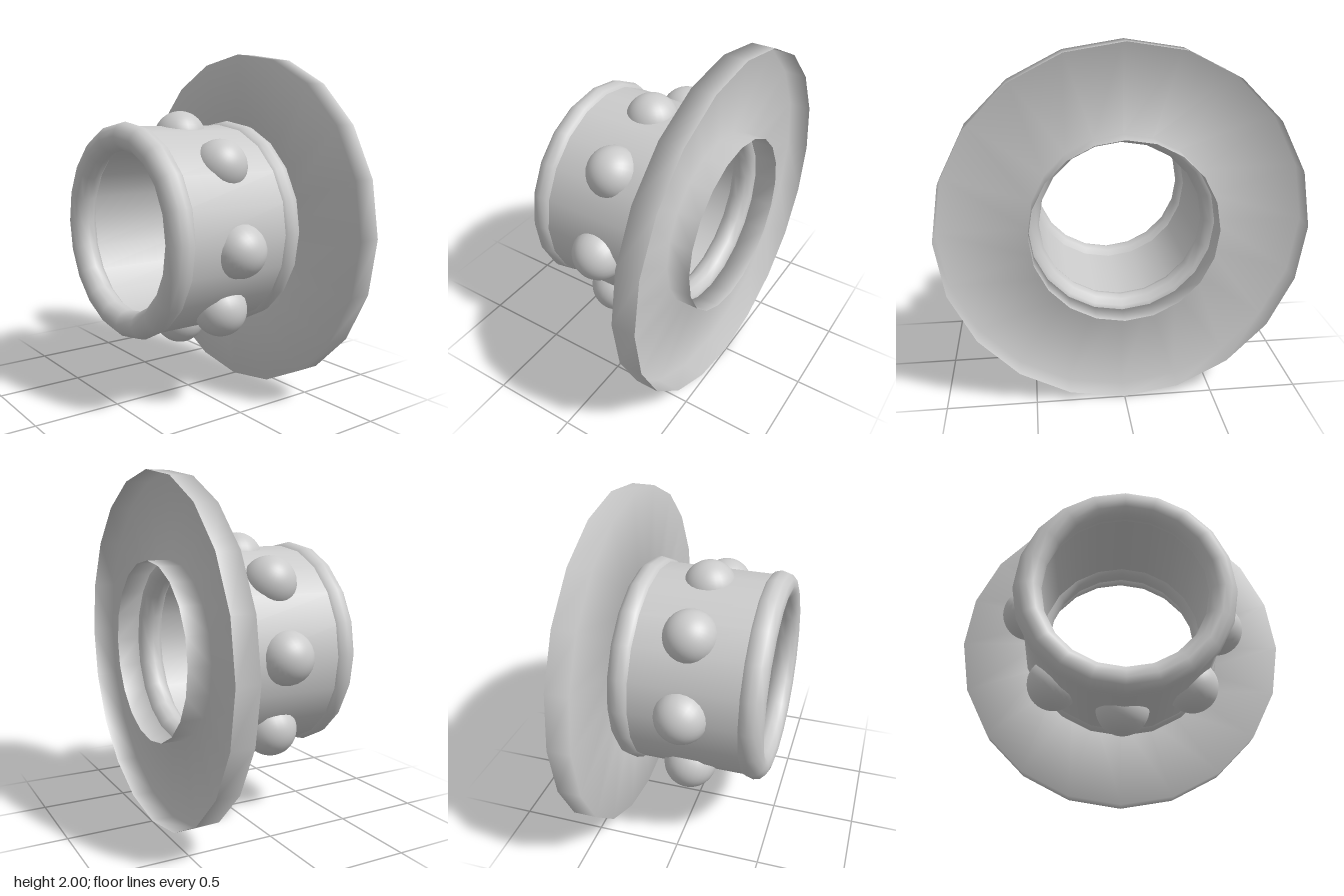
import * as THREE from 'three';

const material = new THREE.MeshStandardMaterial({ color: 0xcccccc });
const openMaterial = new THREE.MeshStandardMaterial({ color: 0xcccccc, side: THREE.DoubleSide });

function add(parent, name, geometry, x = 0, y = 0, z = 0, surface = material) {
  const mesh = new THREE.Mesh(geometry, surface);
  mesh.name = name;
  mesh.position.set(x, y, z);
  parent.add(mesh);
  return mesh;
}

// Surface of revolution about the z axis from [radius, z] pairs
function turned(profile, sides) {
  const points = profile.map(([r, z]) => new THREE.Vector2(r, z));
  return new THREE.LatheGeometry(points, sides).rotateX(Math.PI / 2);
}

export function createModel() {
  const model = new THREE.Group();
  model.name = 'flangedCollar';

  // Wide flange: a flat front with an outer and an inner wall, open at the back
  const flange = turned([[1, -0.498], [1, -0.366], [0.512, -0.366], [0.512, -0.501]], 20);
  add(model, 'flange', flange, 0, 1, 0, openMaterial);

  // Sleeve walls; their ends are buried in the two rims
  const sleeve = new THREE.Group();
  sleeve.name = 'sleeve';
  model.add(sleeve);
  add(sleeve, 'outerWall', turned([[0.586, -0.29], [0.586, 0.42]], 20), 0, 0.994, 0);
  add(sleeve, 'innerWall', turned([[0.49, 0.42], [0.49, -0.29]], 20), 0, 0.994, 0);

  // Rounded rims at both ends of the sleeve
  for (const [name, z] of [['frontRim', 0.422], ['backRim', -0.288]]) {
    add(model, name, new THREE.TorusGeometry(0.53, 0.078, 12, 20), 0, 0.997, z);
  }

  // Slightly uneven ring of domed studs: x and y offsets from the axis
  const studs = new THREE.Group();
  studs.name = 'studs';
  model.add(studs);
  const dome = new THREE.SphereGeometry(0.15, 24, 12, 0, Math.PI * 2, 0, Math.PI / 2);
  const up = new THREE.Vector3(0, 1, 0);
  const centres = [
    [0, 0.513], [0.375, 0.365], [0.542, -0.07], [0.385, -0.422],
    [-0.005, -0.557], [-0.39, -0.417], [-0.55, 0.01], [-0.37, 0.393],
  ];
  for (const [x, y] of centres) {
    const stud = add(studs, 'stud', dome, x, 1 + y, 0.057);
    stud.quaternion.setFromUnitVectors(up, new THREE.Vector3(x, y, 0).normalize());
  }

  return model;
}
